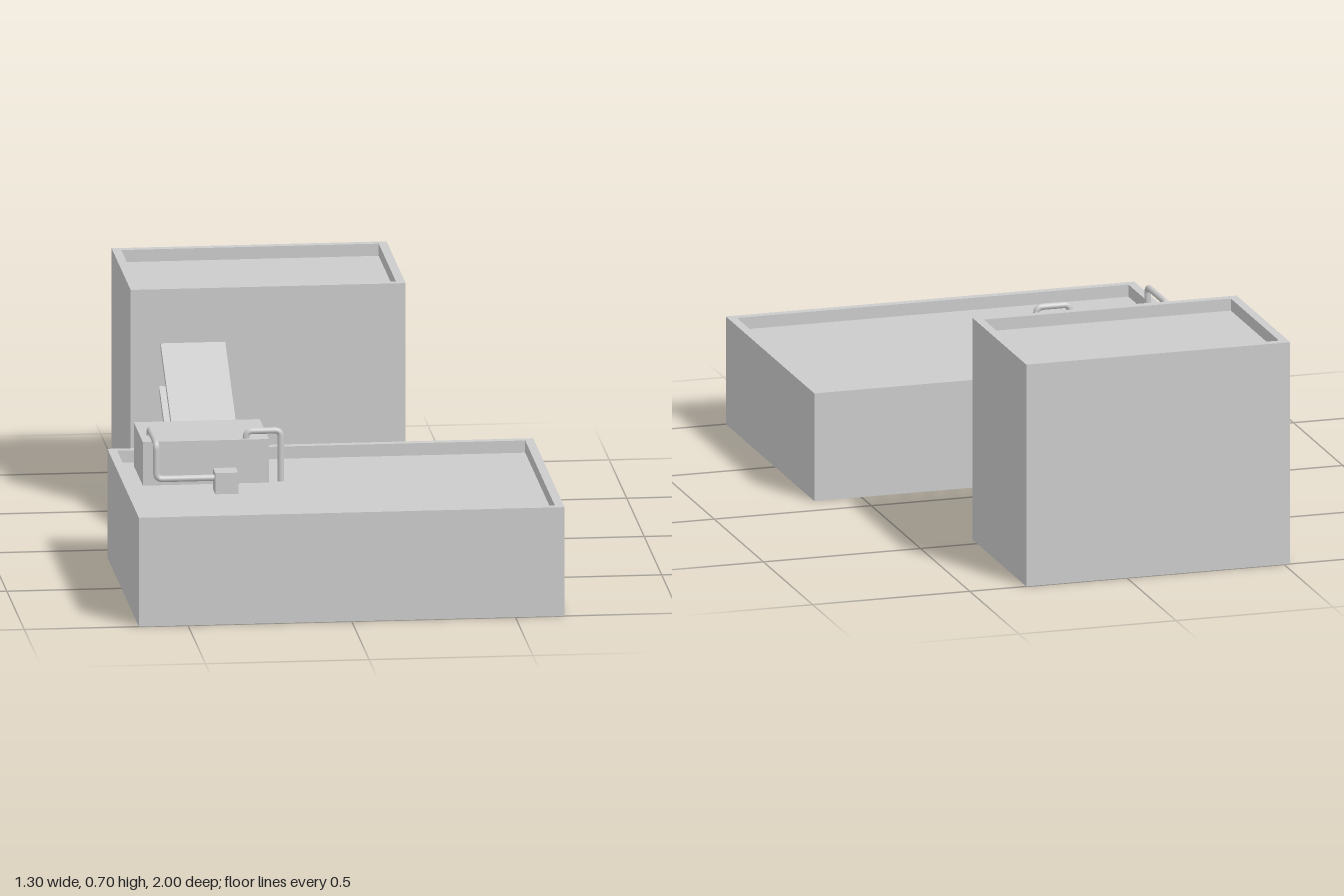
import * as THREE from 'three';

const grey = new THREE.MeshStandardMaterial({ color: 0xcccccc, side: THREE.DoubleSide });

function add(parent, name, geometry, x = 0, y = 0, z = 0) {
  const mesh = new THREE.Mesh(geometry, grey);
  mesh.name = name;
  mesh.position.set(x, y, z);
  parent.add(mesh);
  return mesh;
}

// Box given by its limits
function block(parent, name, x0, x1, y0, y1, z0, z1) {
  add(parent, name, new THREE.BoxGeometry(x1 - x0, y1 - y0, z1 - z0),
    (x0 + x1) / 2, (y0 + y1) / 2, (z0 + z1) / 2);
}

// Thin hall shell, open below: outer wall, parapet rim, inner drop and sunken roof
function hallGeometry(x0, x1, z0, z1, height, rim, drop) {
  const ring = (inset, y) => [
    [x1 - inset, y, z1 - inset], [x1 - inset, y, z0 + inset],
    [x0 + inset, y, z0 + inset], [x0 + inset, y, z1 - inset],
  ];
  const rings = [ring(0, 0), ring(0, height), ring(rim, height), ring(rim, height - drop)];
  const points = [];
  const quad = (a, b, c, d) => points.push(...a, ...b, ...c, ...a, ...c, ...d);
  for (let k = 0; k < 3; k++) {
    for (let i = 0; i < 4; i++) {
      const j = (i + 1) % 4;
      quad(rings[k][i], rings[k][j], rings[k + 1][j], rings[k + 1][i]);
    }
  }
  quad(...rings[3]);
  const geometry = new THREE.BufferGeometry();
  geometry.setAttribute('position', new THREE.Float32BufferAttribute(points, 3));
  geometry.computeVertexNormals();
  return geometry;
}

// Pipe along straight runs with rounded bends
function pipeGeometry(corners, radius, bend) {
  const p = corners.map((c) => new THREE.Vector3(...c));
  const path = new THREE.CurvePath();
  let from = p[0];
  for (let i = 1; i < p.length - 1; i++) {
    const toward = (q) => p[i].clone().add(q.clone().sub(p[i]).setLength(bend));
    const start = toward(p[i - 1]), end = toward(p[i + 1]);
    path.add(new THREE.LineCurve3(from, start));
    path.add(new THREE.QuadraticBezierCurve3(start, p[i], end));
    from = end;
  }
  path.add(new THREE.LineCurve3(from, p[p.length - 1]));
  return new THREE.TubeGeometry(path, 100, radius, 12, false);
}

export function createModel() {
  const model = new THREE.Group();
  model.name = 'factory';

  // Halls
  add(model, 'lowHall', hallGeometry(-0.65, 0.65, 0.1, 1, 0.34, 0.027, 0.038));
  add(model, 'tallHall', hallGeometry(-0.52, 0.32, -1, -0.455, 0.7, 0.027, 0.038));

  // Sloping bridge with an I-shaped section: wide plates, recessed sides
  const w = 0.0985, h = 0.082, t = 0.019, inset = 0.03;
  const half = [[w, -h], [w, -h + t], [w - inset, -h + t], [w - inset, h - t], [w, h - t], [w, h]];
  const outline = [...half, ...half.map(([x, y]) => [-x, y]).reverse()];
  const section = new THREE.Shape(outline.map(([x, y]) => new THREE.Vector2(x, y)));
  const length = 0.64;
  const bridge = new THREE.ExtrudeGeometry(section, { depth: length, bevelEnabled: false });
  bridge.translate(0, 0, -length / 2);
  add(model, 'conveyorBridge', bridge, -0.334, 0.31, -0.1775).rotation.x = Math.PI / 6;

  // Roof equipment
  const roof = 0.302;
  block(model, 'roofUnit', -0.577, -0.192, roof, 0.438, 0.17, 0.43);
  block(model, 'pipeBox', -0.37, -0.3, roof, 0.368, 0.497, 0.565);
  add(model, 'longPipe', pipeGeometry([
    [-0.547, 0.42, 0.34], [-0.547, 0.458, 0.34], [-0.547, 0.458, 0.535],
    [-0.547, 0.347, 0.535], [-0.36, 0.347, 0.535],
  ], 0.01, 0.02));
  add(model, 'shortPipe', pipeGeometry([
    [-0.26, 0.42, 0.411], [-0.26, 0.46, 0.411], [-0.154, 0.46, 0.411], [-0.154, roof, 0.411],
  ], 0.01, 0.02));

  return model;
}
